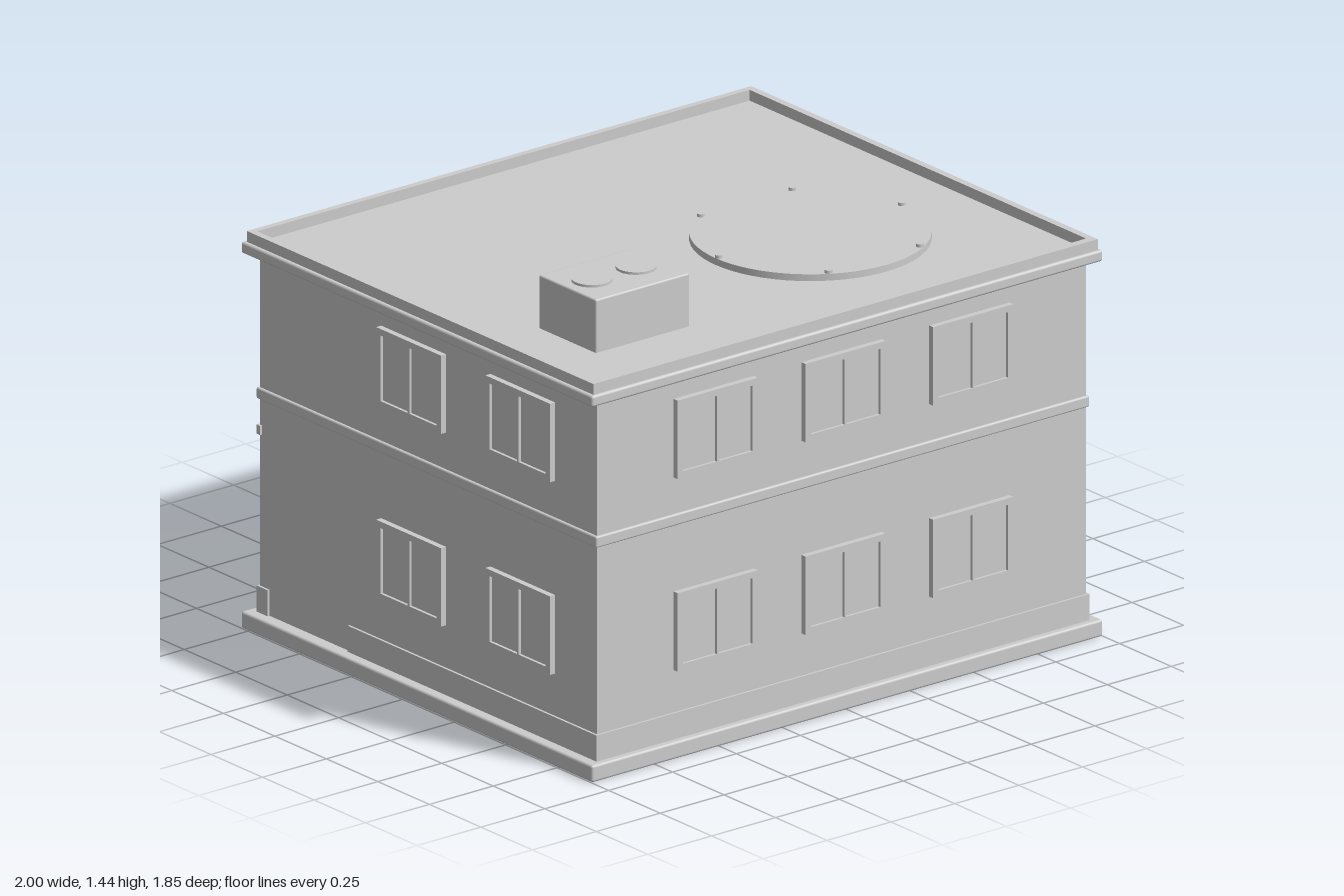
import * as THREE from 'three';
import { RoundedBoxGeometry } from 'three/addons/geometries/RoundedBoxGeometry.js';

const grey = new THREE.MeshStandardMaterial({ color: 0xcccccc });
grey.name = 'plain grey';

export function createModel() {
  const model = new THREE.Group();
  model.name = 'clinicBuilding';

  function add(name, geometry, x = 0, y = 0, z = 0, parent = model) {
    const mesh = new THREE.Mesh(geometry, grey);
    mesh.name = name;
    mesh.position.set(x, y, z);
    parent.add(mesh);
    return mesh;
  }
  // Box given by its limits on each axis, with an optional softened edge
  function block(name, [x0, x1], [y0, y1], [z0, z1], radius = 0, parent = model) {
    const size = [x1 - x0, y1 - y0, z1 - z0];
    const geometry = radius ? new RoundedBoxGeometry(...size, 2, radius) : new THREE.BoxGeometry(...size);
    return add(name, geometry, (x0 + x1) / 2, (y0 + y1) / 2, (z0 + z1) / 2, parent);
  }
  function rectangle(path, x0, x1, y0, y1) {
    path.moveTo(x0, y0);
    path.lineTo(x1, y0);
    path.lineTo(x1, y1);
    path.lineTo(x0, y1);
    path.closePath();
    return path;
  }
  function extrude(shape, depth) {
    return new THREE.ExtrudeGeometry(shape, { depth, bevelEnabled: false, curveSegments: 32 });
  }
  // Plus-shaped plate facing +z
  function plus(size, arm, depth) {
    const s = size / 2, a = arm / 2;
    const points = [[-a, -s], [a, -s], [a, -a], [s, -a], [s, a], [a, a], [a, s], [-a, s], [-a, a], [-s, a], [-s, -a], [-a, -a]];
    return extrude(new THREE.Shape(points.map(p => new THREE.Vector2(...p))), depth);
  }

  // Main shell and horizontal mouldings
  block('foundation', [-1, 1], [0, 0.055], [-0.785, 0.92], 0.008);
  block('walls', [-0.957, 0.957], [0.04, 1.24], [-0.745, 0.89]);
  block('floorBand', [-0.966, 0.966], [0.75, 0.787], [-0.754, 0.898], 0.006);
  block('cornice', [-1, 1], [1.223, 1.26], [-0.785, 0.92], 0.008);

  // Parapet ring around the sunken roof
  const ring = rectangle(new THREE.Shape(), -0.987, 0.987, -0.91, 0.772);
  ring.holes.push(rectangle(new THREE.Path(), -0.963, 0.963, -0.883, 0.75));
  const parapet = add('parapet', extrude(ring, 0.04), 0, 1.255, 0);
  parapet.rotation.x = -Math.PI / 2;

  // Low skirting along the walls
  block('frontSkirting', [-0.965, 0.965], [0.05, 0.14], [0.88, 0.898]);
  for (const side of [-1, 1]) {
    const xs = [side * 0.95, side * 0.965].sort((a, b) => a - b);
    block('sideSkirting', xs, [0.05, 0.14], [-0.31, 0.89]);
  }
  block('backSkirtingLeft', [0.25, 0.965], [0.05, 0.14], [-0.752, -0.7]);
  block('backSkirtingRight', [-0.965, -0.63], [0.05, 0.14], [-0.752, -0.7]);

  // Two-pane windows, built facing +z
  const windowShape = rectangle(new THREE.Shape(), -0.157, 0.157, -0.128, 0.128);
  for (const s of [-1, 1]) {
    const [a, b] = s < 0 ? [-0.136, -0.004] : [0.004, 0.136];
    windowShape.holes.push(rectangle(new THREE.Path(), a, b, -0.107, 0.107));
  }
  const windowFrame = extrude(windowShape, 0.02);
  const pane = new THREE.BoxGeometry(0.28, 0.222, 0.009);
  function addWindow(x, y, z, turn) {
    const group = new THREE.Group();
    group.name = 'window';
    add('windowFrame', windowFrame, 0, 0, 0, group);
    add('windowPane', pane, 0, 0, 0.006, group);
    group.position.set(x, y, z);
    group.rotation.y = turn;
    model.add(group);
  }
  for (const y of [0.406, 1.034]) {
    for (const x of [-0.5, 0, 0.5]) addWindow(x, y, 0.89, 0);
    for (const z of [0, 0.53]) {
      addWindow(0.957, y, z, Math.PI / 2);
      addWindow(-0.957, y, z, -Math.PI / 2);
    }
  }
  for (const x of [0.73, 0.38, -0.65]) addWindow(x, 1.034, -0.745, Math.PI);

  // Shop window and trim strip on the entrance side
  const display = rectangle(new THREE.Shape(), 0.25, 0.92, 0.14, 0.625);
  display.holes.push(rectangle(new THREE.Path(), 0.268, 0.9, 0.157, 0.61));
  add('displayWindowFrame', extrude(display, 0.006), 0, 0, -0.751);
  block('entranceTrim', [-0.965, 0.965], [0.635, 0.665], [-0.753, -0.735]);

  // Double door with handles
  const doorX = -0.345;
  const doorShape = rectangle(new THREE.Shape(), -0.265, 0.265, 0.055, 0.61);
  doorShape.holes.push(rectangle(new THREE.Path(), -0.245, 0.245, 0.065, 0.59));
  add('doorFrame', extrude(doorShape, 0.014), doorX, 0, -0.759);
  for (const s of [-1, 1]) {
    const leafX = doorX + s * 0.122;
    block('doorLeaf', [leafX - 0.12, leafX + 0.12], [0.065, 0.59], [-0.752, -0.74]);
    add('doorHandle', new THREE.CylinderGeometry(0.005, 0.005, 0.24, 8), doorX + s * 0.022, 0.33, -0.759);
  }
  block('doorstep', [-0.62, -0.075], [0.055, 0.073], [-0.8, -0.74]);

  // Canopy with sign plate and posts
  block('canopy', [-0.655, -0.035], [0.65, 0.682], [-0.92, -0.74], 0.006);
  block('canopyUnderside', [-0.43, -0.26], [0.642, 0.655], [-0.84, -0.8]);
  block('canopySign', [doorX - 0.073, doorX + 0.073], [0.656, 0.676], [-0.926, -0.918]);
  for (const s of [-1, 1]) {
    add('canopyPost', new THREE.CylinderGeometry(0.013, 0.013, 0.525, 16), doorX + s * 0.272, 0.323, -0.887);
  }

  // Round cross sign above the entrance
  const badge = new THREE.Group();
  badge.name = 'crossSign';
  badge.position.set(-0.135, 1.022, -0.745);
  badge.rotation.y = Math.PI;
  model.add(badge);
  const disc = new THREE.CylinderGeometry(0.195, 0.195, 0.03, 48).rotateX(Math.PI / 2);
  add('signDisc', disc, 0, 0, 0.015, badge);
  const rim = new THREE.Shape().absarc(0, 0, 0.207, 0, Math.PI * 2);
  rim.holes.push(new THREE.Path().absarc(0, 0, 0.185, 0, Math.PI * 2));
  add('signRim', extrude(rim, 0.04), 0, 0, 0, badge);
  add('signCross', plus(0.27, 0.09, 0.02), 0, 0, 0.028, badge);

  // Helicopter pad with edge lamps
  add('landingPad', new THREE.CylinderGeometry(0.37, 0.37, 0.024, 64), 0.37, 1.27, 0.28);
  for (let i = 0; i < 6; i++) {
    const a = i * Math.PI / 3;
    const lamp = new THREE.CylinderGeometry(0.012, 0.012, 0.012, 12);
    add('padLamp', lamp, 0.37 + 0.358 * Math.cos(a), 1.286, 0.28 + 0.358 * Math.sin(a));
  }

  // Roof ventilation unit
  block('ventilationUnit', [-0.757, -0.39], [1.25, 1.433], [0.36, 0.637], 0.006);
  for (const x of [-0.66, -0.487]) {
    add('ventilationFan', new THREE.CylinderGeometry(0.063, 0.063, 0.014, 32), x, 1.434, 0.497);
  }
  add('ventilationCross', plus(0.115, 0.038, 0.009), -0.573, 1.345, 0.353);

  return model;
}
